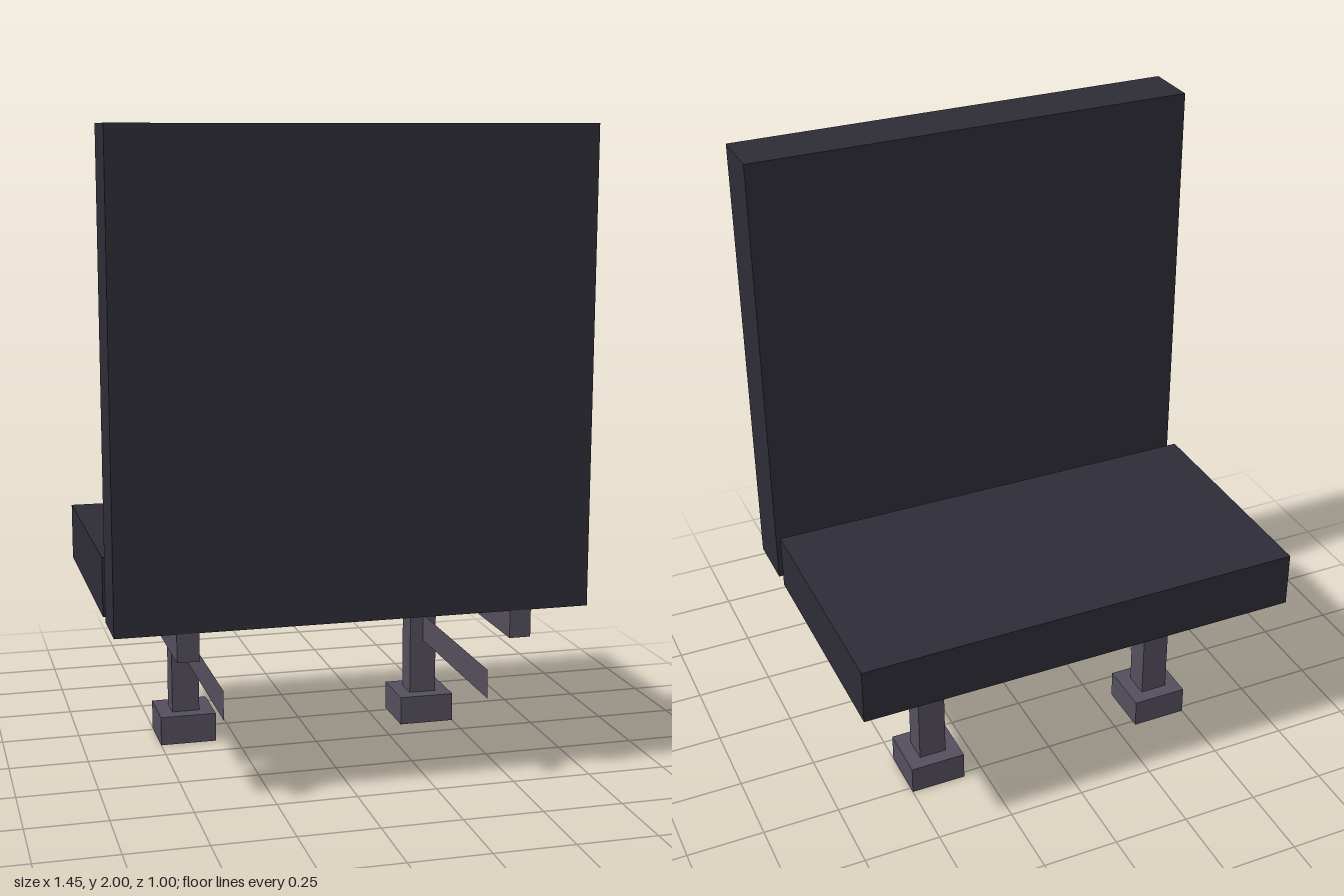
import * as THREE from 'three';

const cushionMat = new THREE.MeshStandardMaterial({ color: 0x2e2d37 });
cushionMat.name = 'dark upholstery';
const frameMat = new THREE.MeshStandardMaterial({ color: 0x544f5d, side: THREE.DoubleSide });
frameMat.name = 'grey frame';

// Box given by its [min, max] extents on each axis
function box(name, [x0, x1], [y0, y1], [z0, z1], material) {
  const mesh = new THREE.Mesh(new THREE.BoxGeometry(x1 - x0, y1 - y0, z1 - z0), material);
  mesh.position.set((x0 + x1) / 2, (y0 + y1) / 2, (z0 + z1) / 2);
  mesh.name = name;
  return mesh;
}

export function createModel() {
  const model = new THREE.Group();
  model.name = 'benchSeat';

  // Cushions
  model.add(box('backrest', [-0.727, 0.727], [0.546, 2], [0.32, 0.5], cushionMat));
  model.add(box('seat', [-0.727, 0.727], [0.548, 0.73], [-0.5, 0.267], cushionMat));

  // Crossbar joining the side rails
  model.add(box('crossbar', [-0.48, 0.48], [0.46, 0.546], [-0.224, -0.138], frameMat));

  for (const [side, s] of [['left', 1], ['right', -1]]) {
    const span = (a, b) => (s > 0 ? [a, b] : [-b, -a]);
    model.add(box(side + 'Rail', span(0.478, 0.545), [0.46, 0.546], [-0.224, 0.498], frameMat));
    model.add(box(side + 'Leg', span(0.364, 0.454), [0.094, 0.46], [-0.224, -0.138], frameMat));
    model.add(box(side + 'Foot', span(0.318, 0.5), [0, 0.094], [-0.27, -0.09], frameMat));

    // Thin flat brace running forward from the leg
    const brace = new THREE.Mesh(new THREE.PlaneGeometry(0.638, 0.09), frameMat);
    brace.rotation.y = Math.PI / 2;
    brace.position.set(s * 0.409, 0.32, 0.181);
    brace.name = side + 'Brace';
    model.add(brace);
  }
  return model;
}
